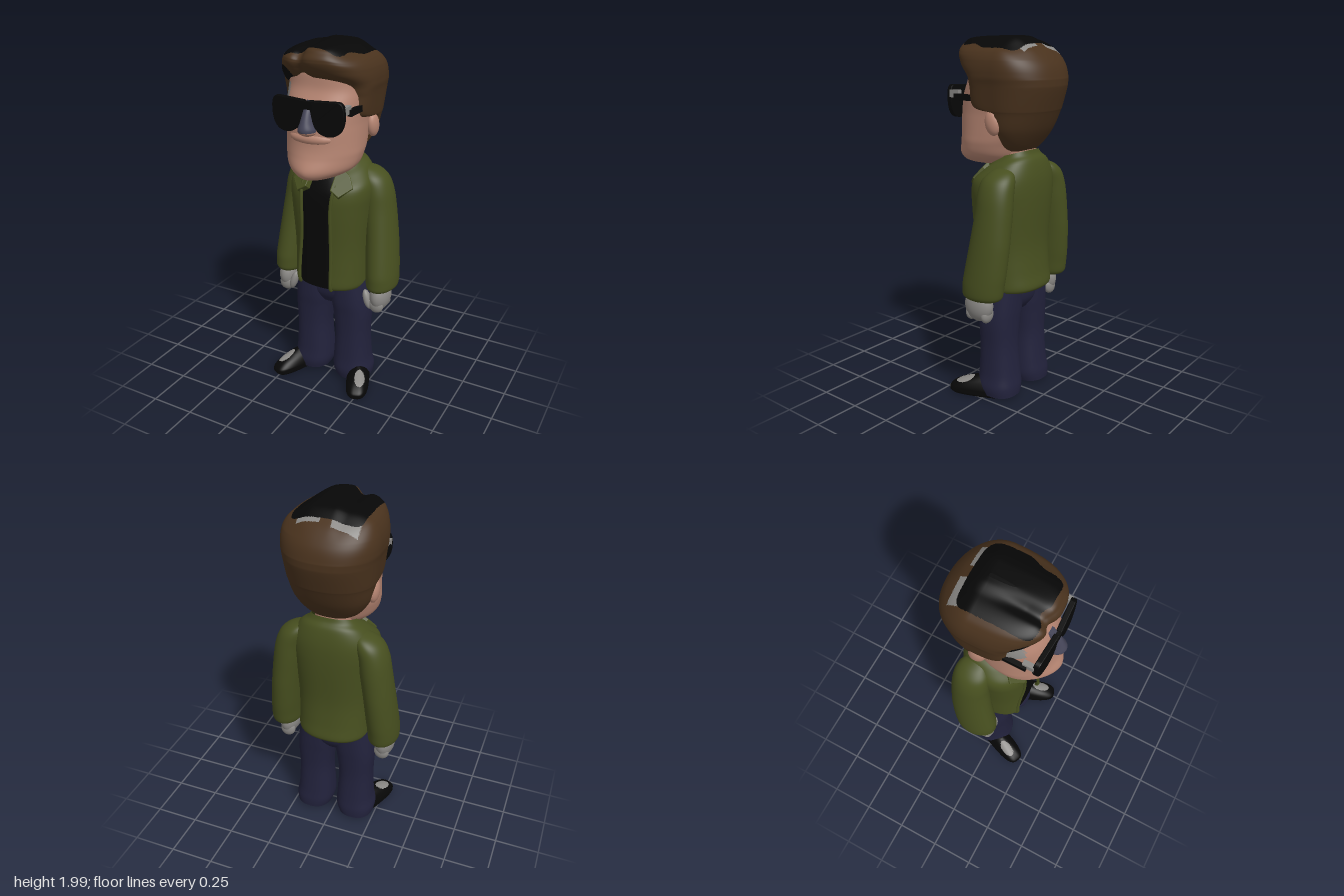
import * as THREE from 'three';

const { smoothstep, clamp } = THREE.MathUtils;
const mat = (name, color, side = THREE.FrontSide) => {
  const m = new THREE.MeshStandardMaterial({ color, side });
  m.name = name;
  return m;
};
const skin = mat('skin', 0xb68572), hairBrown = mat('hair brown', 0x49321d), black = mat('black', 0x070707);
const green = mat('jacket green', 0x474f1f, THREE.DoubleSide), denim = mat('denim', 0x22223c);
const grey = mat('light grey', 0x8a8885), slate = mat('slate', 0x454558);

// Smooth interpolation of section rows without overshoot
function refine(rows, k) {
  const out = [];
  for (let i = 0; i < rows.length - 1; i++) {
    const p = rows[Math.max(i - 1, 0)], a = rows[i], b = rows[i + 1], q = rows[Math.min(i + 2, rows.length - 1)];
    for (let j = 0; j < k; j++) {
      const t = j / k;
      out.push(a.map((v, c) => clamp(0.5 * (2 * v + (b[c] - p[c]) * t + (2 * p[c] - 5 * v + 4 * b[c] - q[c]) * t * t
        + (3 * v - p[c] - 3 * b[c] + q[c]) * t ** 3), Math.min(v, b[c]), Math.max(v, b[c]))));
    }
  }
  return [...out, rows[rows.length - 1]];
}

// Loft of superellipse rings. Row: [y, centre x, half width, front z, back z, front power, back power]
function loft(name, rows, mats, { seg = 48, k = 5, mid, open, warp, pick } = {}) {
  const rings = refine(rows.map(r => [...r, ...[2.4, 2.4].slice(r.length - 5)]), k);
  const cols = open ? seg + 1 : seg, last = rings.length - 1;
  const pos = [], tris = [];
  for (const [y, cx, rx, zf, zb, nf, nb] of rings) {
    const ang = x => Math.asin(Math.min(0.95, Math.pow(Math.abs(x) / rx, nf / 2)));
    const a0 = open ? ang(open(y)[1]) : 0, a1 = Math.PI * 2 - (open ? ang(open(y)[0]) : 0);
    const cz = mid ?? (zf + zb) / 2;
    for (let i = 0; i < cols; i++) {
      const a = a0 + (a1 - a0) * i / seg, s = Math.sin(a), c = Math.cos(a), e = 2 / (c > 0 ? nf : nb);
      const v = new THREE.Vector3(cx + rx * Math.sign(s) * Math.abs(s) ** e, y, cz + ((c > 0 ? zf : zb) - cz) * Math.abs(c) ** e);
      if (warp) warp(v);
      pos.push(v.x, v.y, v.z);
    }
  }
  for (let r = 0; r < last; r++) for (let i = 0; i < seg; i++) {
    const j = (i + 1) % cols, a = r * cols, b = a + cols;
    tris.push([a + i, a + j, b + i], [a + j, b + j, b + i]);
  }
  // End caps with their own corners
  if (!open) for (const r of [0, last]) {
    const base = pos.length / 3, centre = [0, 0, 0];
    for (let i = 0; i < cols; i++) for (let c = 0; c < 3; c++) {
      const v = pos[(r * cols + i) * 3 + c];
      centre[c] += v / cols;
      pos.push(v);
    }
    pos.push(...centre);
    for (let i = 0; i < cols; i++) {
      const j = (i + 1) % cols;
      tris.push(r ? [base + cols, base + i, base + j] : [base + cols, base + j, base + i]);
    }
  }
  const g = new THREE.BufferGeometry();
  g.setAttribute('position', new THREE.Float32BufferAttribute(pos, 3));
  // Faces sorted by colour
  const sets = [mats].flat().map(() => []);
  for (const t of tris) {
    const m = [0, 1, 2].map(c => (pos[t[0] * 3 + c] + pos[t[1] * 3 + c] + pos[t[2] * 3 + c]) / 3);
    sets[pick ? pick(...m) : 0].push(...t);
  }
  let start = 0;
  sets.forEach((s, i) => { g.addGroup(start, s.length, i); start += s.length; });
  g.setIndex(sets.flat());
  g.computeVertexNormals();
  const mesh = new THREE.Mesh(g, mats);
  mesh.name = name;
  mesh.userData = { cols, rings: rings.length };
  return mesh;
}

const ball = new THREE.SphereGeometry(1, 24, 16), cube = new THREE.BoxGeometry(1, 1, 1);
function part(name, geo, m, p = [0, 0, 0], size = [1, 1, 1], rot = [0, 0, 0]) {
  const mesh = new THREE.Mesh(geo, m);
  mesh.name = name;
  mesh.position.set(...p);
  mesh.scale.set(...size);
  mesh.rotation.set(...rot);
  return mesh;
}

export function createModel() {
  const model = new THREE.Group();
  model.name = 'man';
  const add = (...o) => model.add(...o);

  // Head with a grey mark at the right temple, mouth, nose and neck
  add(loft('head', [
    [1.32, 0, 0.06, 0.25, 0.0, 2, 2.4], [1.335, 0, 0.12, 0.29, -0.04, 1.8, 2.4], [1.375, 0, 0.18, 0.307, -0.09, 1.7, 2.4],
    [1.44, 0, 0.202, 0.282, -0.12, 1.9, 2.4], [1.5, 0, 0.205, 0.268, -0.15, 2.1, 2.4], [1.6, 0, 0.205, 0.262, -0.18, 2.2, 2.4],
    [1.7, 0, 0.212, 0.235, -0.2], [1.78, 0, 0.215, 0.2, -0.2], [1.87, 0, 0.205, 0.19, -0.2], [1.92, 0, 0.16, 0.15, -0.15],
  ], [skin, grey], { seg: 64, k: 8, pick: (x, y, z) => (x < -0.155 && z > 0.03 && y > 1.69 && y < 1.79 ? 1 : 0) }));
  add(part('upper lip', ball, skin, [0, 1.54, 0.205], [0.13, 0.045, 0.071]));
  add(loft('nose', [
    [1.56, 0, 0.03, 0.285, 0.2, 2, 2], [1.575, 0, 0.048, 0.31, 0.2, 2, 2], [1.595, 0, 0.048, 0.316, 0.2, 2, 2],
    [1.63, 0, 0.036, 0.305, 0.2, 2, 2], [1.68, 0, 0.027, 0.282, 0.2, 2, 2], [1.73, 0, 0.022, 0.25, 0.18, 2, 2],
  ], [skin, slate], { pick: (x, y) => (y > 1.582 ? 1 : 0) }));
  add(loft('neck', [[1.2, 0, 0.1, 0.03, -0.15], [1.48, 0, 0.1, 0.03, -0.15]], skin));

  // Hair, swept up in two lobes with a dark crown
  add(loft('hair', [
    [1.40, 0, 0.08, -0.09, -0.135, 3, 2.2], [1.44, 0, 0.15, -0.09, -0.17, 3, 2.2], [1.52, 0, 0.205, -0.09, -0.225, 4, 2.2],
    [1.61, 0, 0.228, -0.08, -0.268, 4, 2.2], [1.64, 0, 0.235, 0.1, -0.28, 5, 2.2], [1.75, 0, 0.248, 0.12, -0.312, 5, 2.2],
    [1.8, 0, 0.256, 0.145, -0.308, 4, 2.2], [1.86, 0, 0.252, 0.225, -0.285, 3, 2.2], [1.92, 0, 0.232, 0.26, -0.235, 2.8, 2.2],
    [1.96, 0, 0.2, 0.245, -0.18, 2.8, 2.2], [1.99, 0, 0.13, 0.2, -0.13, 2.5, 2.2], [2.0, 0, 0.01, 0.04, -0.09, 2, 2],
  ], [hairBrown, black, grey], {
    seg: 160, k: 16, mid: -0.08,
    warp: v => {
      const groove = Math.exp(-(((v.x + 0.06) / 0.035) ** 2));
      v.y -= Math.max(0, v.y - 1.88) * (0.22 * groove * smoothstep(v.z, -0.1, 0.15)
        + 0.12 * (1 - smoothstep(v.x, -0.1, -0.03)) + 0.3 * smoothstep(v.x, 0.08, 0.2));
      v.z -= 0.03 * groove * smoothstep(v.z, 0.1, 0.18) * smoothstep(v.y, 1.8, 1.85);
    },
    pick: (x, y, z) => {
      const half = x > 0 ? 0.192 - 0.04 * smoothstep(z, 0, 0.12) : 0.184;
      const reach = z > 0 ? z / (0.215 - 0.03 * Math.exp(-(((x + 0.05) / 0.03) ** 2))) : z / -0.178;
      if (y > 1.88 && (Math.abs(x) / half) ** 7 + reach ** 7 < 1) return 1;
      if (y > 1.87 && z < -0.15 && z > -0.2 - (x < 0 ? 0.012 : 0) && ((x > -0.175 && x < -0.04) || (x > 0.02 && x < 0.14))) return 2;
      return z > 0.05 && Math.hypot(x + 0.175, y - 1.835) < 0.05 ? 1 : 0;
    },
  }));

  // Sunglasses
  const glasses = new THREE.Group();
  glasses.name = 'sunglasses';
  add(glasses);
  glasses.add(part('bridge', cube, black, [0, 1.715, 0.264], [0.07, 0.04, 0.022]));

  for (const s of [1, -1]) {
    const side = s > 0 ? 'left ' : 'right ';
    const lensShape = new THREE.Shape();
    lensShape.moveTo(0.015 * s, 1.735);
    lensShape.lineTo(0.17 * s, 1.742);
    lensShape.quadraticCurveTo(0.202 * s, 1.74, 0.2 * s, 1.68);
    lensShape.quadraticCurveTo(0.198 * s, 1.572, 0.12 * s, 1.572);
    lensShape.quadraticCurveTo(0.05 * s, 1.574, 0.035 * s, 1.65);
    const lensGeo = new THREE.ExtrudeGeometry(lensShape, { depth: 0.02, bevelSize: 0.004, bevelThickness: 0.004, bevelSegments: 2 });
    const p = lensGeo.attributes.position;
    for (let i = 0; i < p.count; i++) p.setZ(i, p.getZ(i) + 0.25 - 0.3 * p.getX(i) ** 2);
    lensGeo.computeVertexNormals();
    glasses.add(part(side + 'lens', lensGeo, black));
    glasses.add(part(side + 'hinge', cube, grey, [0.192 * s, 1.7, 0.212], [0.026, 0.04, 0.06]));
    glasses.add(part(side + 'temple', cube, black, [0.205 * s, 1.685, 0.13], [0.024, 0.032, 0.15]));
    add(part(side + 'ear', ball, skin, [0.21 * s, 1.565, -0.055], [0.03, 0.065, 0.045], [0.2, 0, 0]));

    // Sleeve
    add(loft(side + 'sleeve', [
      [0.64, 0.292, 0.072, 0.06, -0.15], [0.66, 0.294, 0.085, 0.072, -0.17], [0.72, 0.292, 0.088, 0.072, -0.18],
      [0.8, 0.285, 0.088, 0.06, -0.19], [0.95, 0.27, 0.086, 0.035, -0.2], [1.1, 0.25, 0.086, 0.015, -0.2],
      [1.2, 0.234, 0.084, 0.01, -0.195], [1.27, 0.21, 0.078, 0, -0.185], [1.31, 0.185, 0.055, -0.03, -0.16],
      [1.33, 0.165, 0.02, -0.06, -0.12],
    ].map(([y, x, ...r]) => [y, x * s, ...r, 2, 2]), green));

    // Hand with curled fingers and thumb
    const hand = new THREE.Group();
    hand.name = side + 'hand';
    hand.add(part('palm', ball, grey, [0.296 * s, 0.595, -0.025], [0.056, 0.09, 0.088]));
    for (let i = 0; i < 4; i++)
      hand.add(part('finger', ball, grey, [0.292 * s, 0.55 + 0.006 * (i % 3), 0.026 - i * 0.034], [0.044, 0.048, 0.028], [0, 0, 0.25 * s]));
    hand.add(part('thumb', ball, grey, [0.24 * s, 0.575, 0.03], [0.022, 0.06, 0.026], [0, 0, 0.3 * s]));
    add(hand);

    // Trouser leg
    add(loft(side + 'trouser leg', [
      [0.03, 0.135, 0.105, 0.08, -0.15], [0.08, 0.131, 0.115, 0.088, -0.152], [0.16, 0.125, 0.108, 0.08, -0.142],
      [0.32, 0.126, 0.1, 0.075, -0.13], [0.45, 0.122, 0.109, 0.08, -0.135], [0.54, 0.113, 0.113, 0.088, -0.142],
      [0.7, 0.1, 0.105, 0.09, -0.15],
    ].map(([y, x, ...r]) => [y, x * s, ...r]), denim));

    // Shoe, turned outwards, with a light toe patch
    const shoe = loft(side + 'shoe', [
      [0.01, 0, 0.055, 0.222, -0.12, 3, 2.4], [0.025, 0, 0.066, 0.235, -0.13, 3, 2.4], [0.05, 0, 0.066, 0.23, -0.13, 3, 2.4],
      [0.08, 0, 0.056, 0.19, -0.12, 2.8, 2.4], [0.105, 0, 0.042, 0.13, -0.1], [0.125, 0, 0.02, 0.07, -0.06],
    ], [black, grey], {
      seg: 72, k: 10,
      pick: (x, y, z) => y > 0.04 && ((x * s - 0.015) / 0.03) ** 2 + ((z - 0.14) / 0.055) ** 2 < 1 ? 1 : 0,
    });
    shoe.position.x = 0.18 * s;
    shoe.rotation.y = 0.38 * s;
    add(shoe);

    // Collar flap
    const flapShape = new THREE.Shape([[0.075, 0.035], [0.115, 0], [0.185, 0.05], [0.165, 0.12], [0.11, 0.17]]
      .map(([x, y]) => new THREE.Vector2((x - 0.1) * s, y)));
    const flap = part(side + 'collar flap', new THREE.ExtrudeGeometry(flapShape,
      { depth: 0.028, bevelSize: 0.005, bevelThickness: 0.005, bevelSegments: 3 }), green, [0.1 * s, 1.2, 0.15]);
    flap.rotation.set(-0.7, 0.4 * s, 0, 'YXZ');
    add(flap);
  }

  // Hips, shirt and open jacket
  add(loft('hips', [[0.51, 0, 0.08, 0.05, -0.1], [0.58, 0, 0.17, 0.083, -0.14], [0.72, 0, 0.195, 0.088, -0.15]], denim));
  add(loft('shirt', [
    [0.64, 0, 0.185, 0.14, -0.12], [0.9, 0, 0.185, 0.14, -0.16], [1.15, 0, 0.2, 0.14, -0.18],
    [1.25, 0, 0.17, 0.115, -0.17], [1.34, 0, 0.11, 0.06, -0.15],
  ], black));
  const jacket = loft('jacket', [
    [0.645, 0, 0.2, 0.16, -0.21], [0.67, 0, 0.208, 0.172, -0.222], [0.75, 0, 0.208, 0.168, -0.21], [0.9, 0, 0.21, 0.165, -0.2],
    [1.1, 0, 0.228, 0.172, -0.212], [1.2, 0, 0.238, 0.168, -0.215], [1.27, 0, 0.228, 0.145, -0.21],
    [1.33, 0, 0.185, 0.1, -0.19], [1.36, 0, 0.145, 0.065, -0.165], [1.385, 0, 0.122, 0.05, -0.155],
  ], green, {
    seg: 64,
    open: y => [-0.135 + 0.03 * smoothstep(y, 0.7, 1.05), 0.075 + 0.02 * smoothstep(y, 1.1, 1.35)],
    warp: v => { v.y -= 0.3 * (v.z + 0.06) * smoothstep(v.y, 1.22, 1.38); },
  });
  add(jacket);

  // Rolled front edges of the jacket
  const { cols, rings } = jacket.userData, jp = jacket.geometry.attributes.position;
  for (const col of [0, cols - 1]) {
    const pts = [];
    for (let r = 0; r < rings; r += 3) pts.push(new THREE.Vector3().fromBufferAttribute(jp, r * cols + col));
    add(part('jacket edge', new THREE.TubeGeometry(new THREE.CatmullRomCurve3(pts), 50, 0.01, 8), green));
  }
  return model;
}
